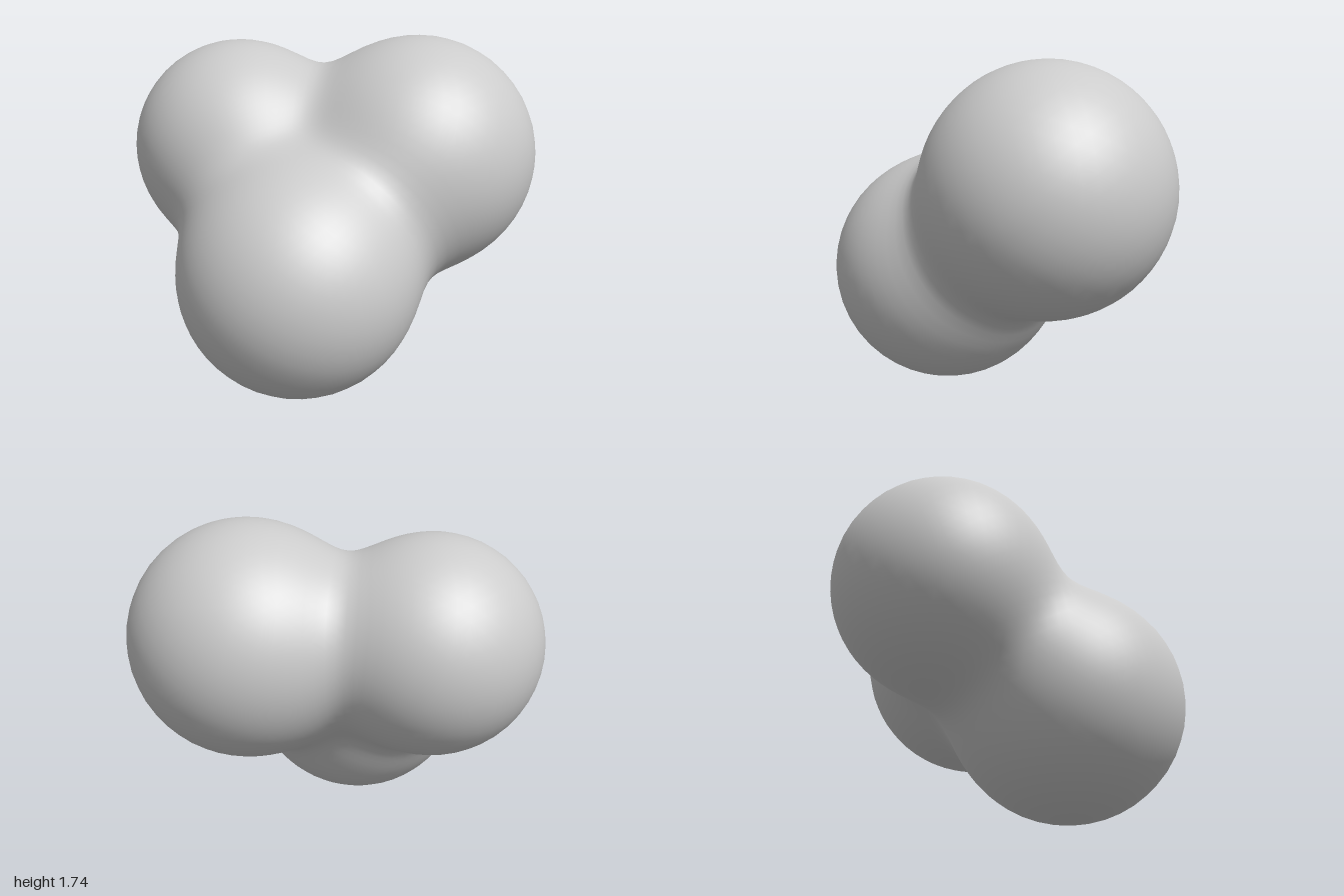
import * as THREE from 'three';
import { mergeVertices } from 'three/addons/utils/BufferGeometryUtils.js';

// Three soft balls that melt into one another
const balls = [
  { center: new THREE.Vector3(-0.43, 1.12, 0.14), radius: 0.57 },
  { center: new THREE.Vector3(0.378, 1.118, -0.378), radius: 0.621 },
  { center: new THREE.Vector3(0.245, 0.61, 0.392), radius: 0.609 },
];
const SOFTNESS = 0.1; // width of the blend in the necks

// Blended field: above 1 is inside
function field(p) {
  let sum = 0;
  for (const { center, radius } of balls) {
    sum += Math.exp((radius - p.distanceTo(center)) / SOFTNESS);
  }
  return sum;
}

export function createModel() {
  const group = new THREE.Group();
  group.name = 'blobCluster';

  // Push every vertex of a sphere out from the core until it meets the blended surface
  const core = new THREE.Vector3(0.04, 0.96, 0.05);
  let geometry = new THREE.IcosahedronGeometry(1, 15);
  geometry.deleteAttribute('uv');
  geometry.deleteAttribute('normal');
  geometry = mergeVertices(geometry, 1e-4);
  const pos = geometry.attributes.position;
  const dir = new THREE.Vector3();
  const p = new THREE.Vector3();
  const at = (t) => field(p.copy(core).addScaledVector(dir, t));
  for (let i = 0; i < pos.count; i++) {
    dir.fromBufferAttribute(pos, i).normalize();
    let outer = 1.8;
    while (outer > 0.05 && at(outer - 0.02) < 1) outer -= 0.02;
    let inner = outer - 0.02;
    for (let k = 0; k < 14; k++) {
      const mid = (inner + outer) / 2;
      if (at(mid) < 1) outer = mid;
      else inner = mid;
    }
    p.copy(core).addScaledVector(dir, inner);
    pos.setXYZ(i, p.x, p.y, p.z);
  }
  geometry.computeVertexNormals();

  const blob = new THREE.Mesh(geometry, new THREE.MeshStandardMaterial({ color: 0xcccccc }));
  blob.name = 'mergedBalls';
  group.add(blob);
  return group;
}
